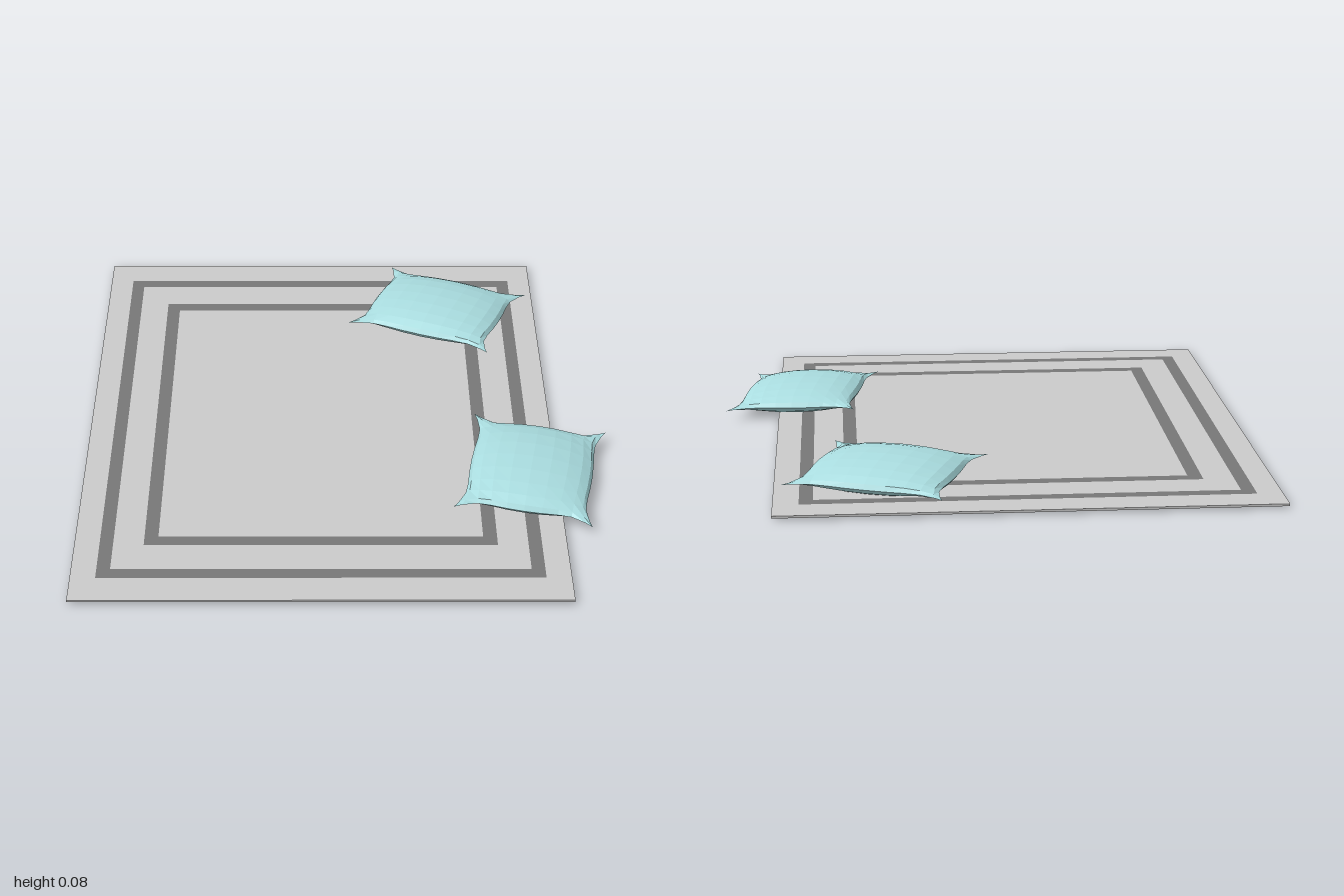
import * as THREE from 'three';
import { mergeGeometries } from 'three/addons/utils/BufferGeometryUtils.js';

const fabric = new THREE.MeshStandardMaterial({ color: 0xcccccc });
const stripe = new THREE.MeshStandardMaterial({ color: 0x787878 });
const cushionCloth = new THREE.MeshStandardMaterial({ color: 0xaadde0, flatShading: true });

// Rectangle outline from half sizes
function rectangle(target, [w, d]) {
  target.moveTo(-w, -d).lineTo(w, -d).lineTo(w, d).lineTo(-w, d).closePath();
  return target;
}

// Thin flat frame (or full panel when there is no inner rectangle)
function rugBand(name, outer, inner, material) {
  const shape = rectangle(new THREE.Shape(), outer);
  if (inner) shape.holes.push(rectangle(new THREE.Path(), inner));
  const geometry = new THREE.ExtrudeGeometry(shape, { depth: 0.006, bevelEnabled: false });
  geometry.rotateX(-Math.PI / 2);
  const mesh = new THREE.Mesh(geometry, material);
  mesh.name = name;
  return mesh;
}

// One puffed half of a cushion; side is 1 for the top, -1 for the underside
function cushionHalf(side, height) {
  const geometry = new THREE.PlaneGeometry(2, 2, 10, 10);
  geometry.rotateX(-side * Math.PI / 2);
  const p = geometry.attributes.position;
  for (let i = 0; i < p.count; i++) {
    // Rows crowd toward the seam, where the surface curves most
    const s = Math.sin(p.getX(i) * Math.PI / 2);
    const t = Math.sin(p.getZ(i) * Math.PI / 2);
    // Corners are drawn out into pointed ears
    const ear = Math.pow(Math.abs(s * t), 9);
    const x = s * (0.19 - 0.016 * t * t + 0.04 * ear);
    const z = t * (0.163 - 0.014 * s * s + 0.033 * ear);
    const puff = Math.sqrt(Math.max(0, (1 - s * s) * (1 - t * t)));
    p.setXYZ(i, x, side * height * puff, z);
  }
  geometry.computeVertexNormals();
  return geometry;
}

const cushionGeometry = mergeGeometries([cushionHalf(1, 0.043), cushionHalf(-1, 0.037)]);

function cushion(name, x, z, turn) {
  const mesh = new THREE.Mesh(cushionGeometry, cushionCloth);
  mesh.name = name;
  mesh.position.set(x, 0.0375, z);
  mesh.rotation.set(-0.045, turn, 0, 'YXZ'); // leans slightly along its short side
  return mesh;
}

export function createModel() {
  const model = new THREE.Group();
  model.name = 'rugWithCushions';

  // Rug: nested bands from the border inwards
  const rug = new THREE.Group();
  rug.name = 'rug';
  const sizes = [[0.635, 0.8], [0.57, 0.712], [0.535, 0.677], [0.456, 0.58], [0.42, 0.544]];
  const names = ['rugBorder', 'outerStripe', 'rugMiddleBand', 'innerStripe', 'rugCentre'];
  sizes.forEach((size, i) => rug.add(rugBand(names[i], size, sizes[i + 1], i % 2 ? stripe : fabric)));
  rug.position.y = 0.006;
  rug.rotation.y = 0.455;
  model.add(rug);

  // Two scattered cushions
  model.add(cushion('backCushion', 0.0875, -0.615, 0.07));
  model.add(cushion('sideCushion', 0.6325, 0.0075, -1.3));
  return model;
}
